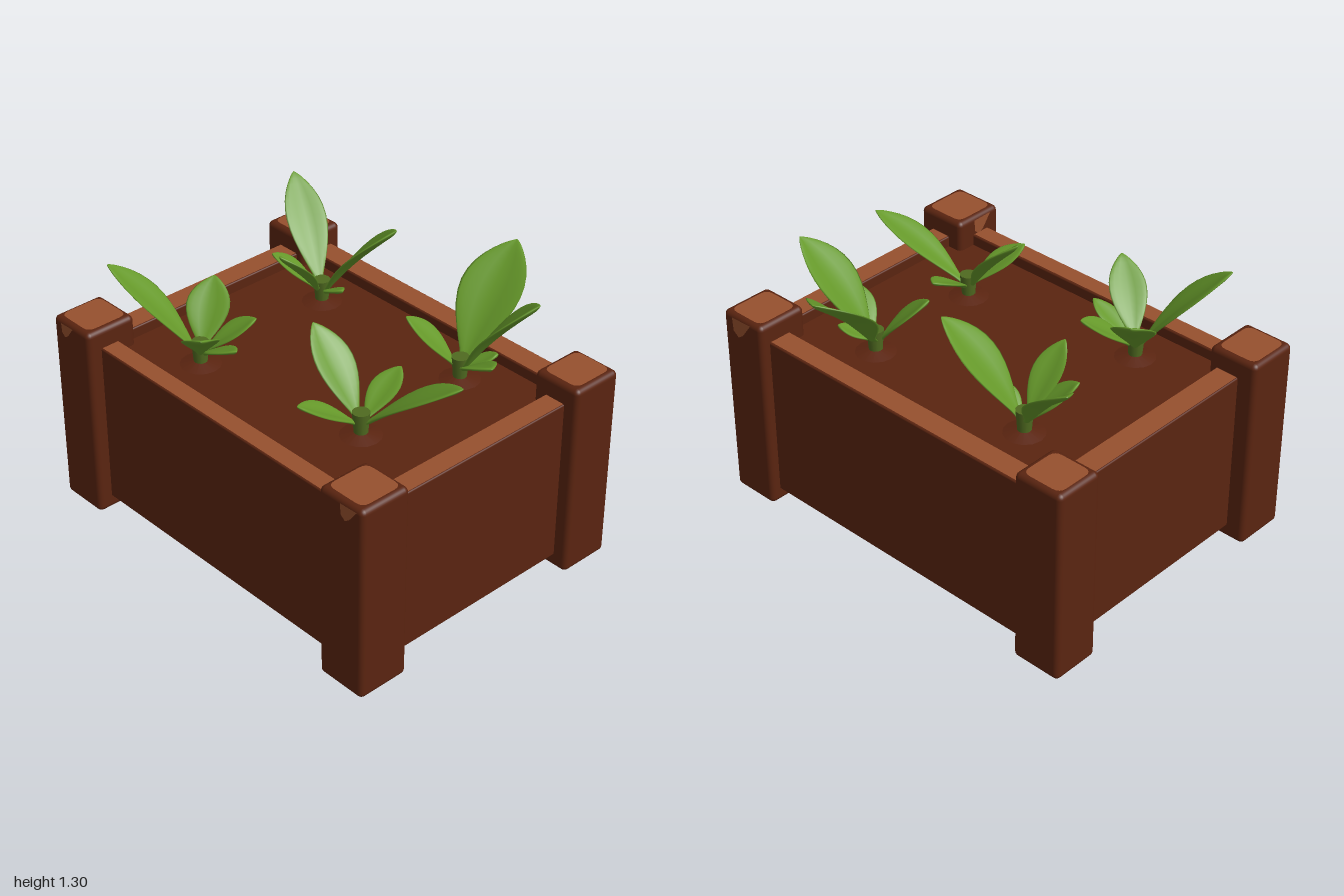
import * as THREE from 'three';
import { mergeVertices } from 'three/addons/utils/BufferGeometryUtils.js';
import { RoundedBoxGeometry } from 'three/addons/geometries/RoundedBoxGeometry.js';

const material = (name, color, side = THREE.FrontSide) => {
  const m = new THREE.MeshStandardMaterial({ color, side });
  m.name = name;
  return m;
};

export function createModel() {
  const model = new THREE.Group();
  model.name = 'planterBox';
  const wood = material('darkWood', 0x5a2410);
  const worn = material('wornWood', 0x96502e, THREE.DoubleSide);
  const green = material('leafGreen', 0x66992a);
  const stemMat = material('stemGreen', 0x4f6a20);

  const add = (parent, name, geometry, mat) => {
    const mesh = new THREE.Mesh(geometry, mat);
    mesh.name = name;
    parent.add(mesh);
    return mesh;
  };

  // Rounded box given by its extents
  const block = (name, x0, x1, y0, y1, z0, z1, r, mat) => {
    const g = new RoundedBoxGeometry(x1 - x0, y1 - y0, z1 - z0, 3, r);
    g.translate((x0 + x1) / 2, (y0 + y1) / 2, (z0 + z1) / 2);
    return add(model, name, g, mat);
  };

  // Flat worn patch with softened corners lying on top of a part
  const topPatch = (name, x0, x1, y, z0, z1, r) => {
    const s = new THREE.Shape();
    s.moveTo(x0 + r, z0);
    s.lineTo(x1 - r, z0).quadraticCurveTo(x1, z0, x1, z0 + r);
    s.lineTo(x1, z1 - r).quadraticCurveTo(x1, z1, x1 - r, z1);
    s.lineTo(x0 + r, z1).quadraticCurveTo(x0, z1, x0, z1 - r);
    s.lineTo(x0, z0 + r).quadraticCurveTo(x0, z0, x0 + r, z0);
    const g = new THREE.ShapeGeometry(s, 4);
    g.rotateX(-Math.PI / 2).scale(1, 1, -1);
    // the mirror turns the faces over, so swap the corner order
    const idx = g.index.array;
    for (let i = 0; i < idx.length; i += 3) [idx[i], idx[i + 1]] = [idx[i + 1], idx[i]];
    const n = g.attributes.normal;
    for (let i = 0; i < n.count; i++) n.setXYZ(i, 0, 1, 0);
    add(model, name, g, worn).position.y = y;
  };

  // Corner posts with worn tops
  const posts = [
    [-0.78, -0.52, 0.745, 1.0], [0.46, 0.72, 0.755, 1.0],
    [-0.78, -0.52, -1.0, -0.75], [0.48, 0.72, -1.0, -0.75],
  ];
  for (const [x0, x1, z0, z1] of posts) {
    block('cornerPost', x0, x1, 0, 0.963, z0, z1, 0.025, wood);
    topPatch('postTop', x0 + 0.026, x1 - 0.022, 0.965, z0 + 0.024, z1 - 0.028, 0.04);
  }

  // Side walls with worn rims
  const walls = [
    [-0.71, -0.61, -0.85, 0.85], [0.55, 0.67, -0.85, 0.85],
    [-0.65, 0.6, -0.91, -0.79], [-0.65, 0.6, 0.82, 0.93],
  ];
  for (const [x0, x1, z0, z1] of walls) {
    block('wall', x0, x1, 0.065, 0.868, z0, z1, 0.008, wood);
    topPatch('wallRim', x0 + 0.006, x1 - 0.008, 0.87, z0 + 0.006, z1 - 0.006, 0.005);
  }
  // Soil filling, closed underneath
  block('soil', -0.66, 0.62, 0.066, 0.815, -0.86, 0.88, 0.005, wood);

  // Chipped spots on the post sides: position, turn, mirror
  const chipShape = new THREE.Shape([
    [-0.06, 0], [-0.055, -0.065], [-0.025, -0.09], [0.005, -0.07], [0.06, 0.004],
  ].map(([x, y]) => new THREE.Vector2(x, y)));
  const chips = [
    [0.722, 0.945, 0.88, Math.PI / 2, 1], [-0.782, 0.945, 0.92, -Math.PI / 2, -0.8],
    [-0.67, 0.945, 0.743, Math.PI, 0.9], [-0.782, 0.945, -0.9, -Math.PI / 2, 0.7],
  ];
  for (const [x, y, z, turn, sx] of chips) {
    const chip = add(model, 'chippedSpot', new THREE.ShapeGeometry(chipShape), worn);
    chip.position.set(x, y, z);
    chip.rotation.y = turn;
    chip.scale.set(Math.abs(sx), Math.abs(sx), 1);
  }

  // Thin cupped leaf blade: narrow stalk, widest past the middle, rounded tip
  const leafGeometry = (base, tip, width) => {
    let g = new THREE.SphereGeometry(1, 16, 18);
    g.deleteAttribute('uv');
    g.deleteAttribute('normal');
    g = mergeVertices(g, 1e-4);
    const d = tip.clone().sub(base);
    const length = d.length();
    d.normalize();
    const s = d.clone().cross(new THREE.Vector3(0, 1, 0)).normalize();
    const n = s.clone().cross(d);
    const p = g.attributes.position;
    for (let i = 0; i < p.count; i++) {
      const t = (p.getY(i) + 1) / 2;
      const r = Math.max(Math.hypot(p.getX(i), p.getZ(i)), 1e-4);
      const u = p.getX(i) / r, v = p.getZ(i) / r;
      const blade = Math.pow(Math.max(Math.sin(Math.PI * Math.pow(t, 1.3)), 0), 0.8);
      const half = Math.max(blade, 0.2 * (1 - t) * Math.min(r * 3, 1)) * width / 2;
      const x = u * half;
      const cup = 0.22 * Math.abs(x) - 0.012 * blade;
      const arch = 0.05 * length * Math.sin(Math.PI * t);
      p.setXYZ(i, x, t * length, v * 0.009 * Math.min(r * 2, 1) + cup + arch);
    }
    g.applyMatrix4(new THREE.Matrix4().makeBasis(s, d, n).setPosition(base));
    g.computeVertexNormals();
    return g;
  };

  // Seedlings: foot x and z, then leaf tips as x, y, z, width
  const seedlings = [
    { foot: [-0.27, 0.45], leaves: [
      [-0.1, 1.17, 0.87, 0.19], [-0.25, 1.215, 0.13, 0.19],
      [-0.53, 1.02, 0.34, 0.15], [-0.0, 1.02, 0.41, 0.14]] },
    { foot: [0.34, 0.43], leaves: [
      [0.78, 1.3, 0.33, 0.3], [0.44, 1.3, 0.78, 0.26], [0.2, 1.1, 0.23, 0.16],
      [0.25, 1.03, 0.7, 0.15], [0.45, 0.95, 0.55, 0.1]] },
    { foot: [-0.41, -0.43], leaves: [
      [-0.65, 1.275, -0.75, 0.2], [-0.2, 1.12, -0.57, 0.2], [-0.21, 1.03, -0.28, 0.16],
      [-0.62, 1.14, -0.16, 0.17], [-0.42, 1.0, -0.17, 0.11]] },
    { foot: [0.34, -0.46], leaves: [
      [0.52, 1.27, -0.85, 0.19], [0.46, 1.285, -0.1, 0.24], [0.08, 1.15, -0.45, 0.15],
      [0.18, 1.06, -0.62, 0.15], [0.29, 0.97, -0.27, 0.09]] },
  ];
  for (const { foot: [x, z], leaves } of seedlings) {
    const plant = new THREE.Group();
    plant.name = 'seedling';
    model.add(plant);
    const stem = add(plant, 'stem', new THREE.CylinderGeometry(0.04, 0.028, 0.14, 12), stemMat);
    stem.position.set(x, 0.86, z);
    const mound = add(plant, 'soilMound', new THREE.ConeGeometry(0.1, 0.025, 14), wood);
    mound.position.set(x, 0.826, z);
    for (const [tx, ty, tz, width] of leaves) {
      const tip = new THREE.Vector3(tx, ty, tz);
      const out = new THREE.Vector3(tx - x, 0, tz - z).normalize().multiplyScalar(0.015);
      const base = new THREE.Vector3(x, 0.87, z).add(out);
      add(plant, 'leaf', leafGeometry(base, tip, width), green);
    }
  }
  return model;
}
